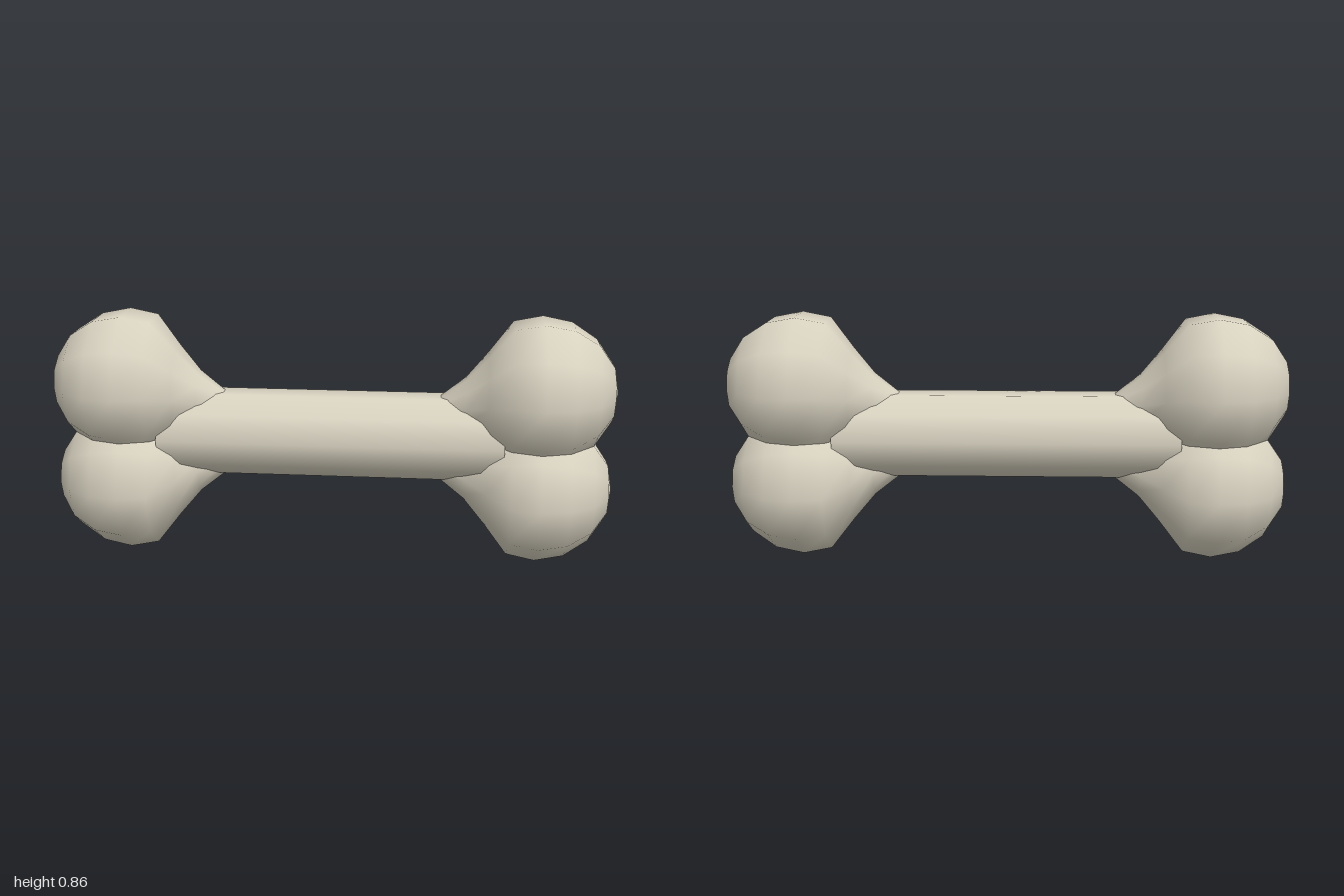
import * as THREE from 'three';

const SIDES = 10;
const MID = 0.433; // height of the bone's long axis

// Lofts ten-sided rings [x, centreY, radius] along x, from the outer end inwards
function loft(rings) {
  const pos = [], index = [];
  for (const [x, cy, r] of rings) {
    for (let k = 0; k < SIDES; k++) {
      const a = (k / SIDES) * Math.PI * 2;
      pos.push(x, cy + r * Math.sin(a), r * Math.cos(a));
    }
  }
  for (let i = 0; i < rings.length - 1; i++) {
    for (let k = 0; k < SIDES; k++) {
      const a = i * SIDES + k, c = i * SIDES + ((k + 1) % SIDES);
      index.push(a, c, a + SIDES, c, c + SIDES, a + SIDES);
    }
  }
  const g = new THREE.BufferGeometry();
  g.setAttribute('position', new THREE.Float32BufferAttribute(pos, 3));
  g.setIndex(index);
  g.computeVertexNormals();
  return g;
}

export function createModel() {
  const bone = new THREE.MeshStandardMaterial({ color: 0xd8d2c0 });
  bone.name = 'bone';
  const model = new THREE.Group();
  model.name = 'bone';

  // Shaft, its ends buried between the knobs
  const shaftGeo = new THREE.CylinderGeometry(0.155, 0.155, 1.22, SIDES, 2);
  shaftGeo.rotateZ(Math.PI / 2);
  const shaft = new THREE.Mesh(shaftGeo, bone);
  shaft.name = 'shaft';
  shaft.position.y = MID + 0.003;
  model.add(shaft);

  // Knob: round outer part, then a neck that tapers down into the shaft
  const R = 0.265, cx = 0.735, cy = 0.178;
  const rings = [];
  for (let i = 0; i <= 5; i++) {
    const t = (i / 8) * Math.PI;
    rings.push([cx + R * Math.cos(t), cy, Math.max(R * Math.sin(t), 0.0005)]);
  }
  rings.push([0.55, 0.153, 0.16], [0.475, 0.128, 0.095], [0.385, 0.102, 0.05], [0.36, 0.085, 0.03]);
  const knobGeo = loft(rings);

  // Four knobs, turned into place at both ends, above and below
  for (const end of ['left', 'right']) {
    for (const level of ['Upper', 'Lower']) {
      const knob = new THREE.Mesh(knobGeo, bone);
      knob.name = end + level + 'Knob';
      knob.position.y = MID;
      knob.rotation.set(level === 'Lower' ? Math.PI : 0, end === 'right' ? Math.PI : 0, 0);
      model.add(knob);
    }
  }
  return model;
}
